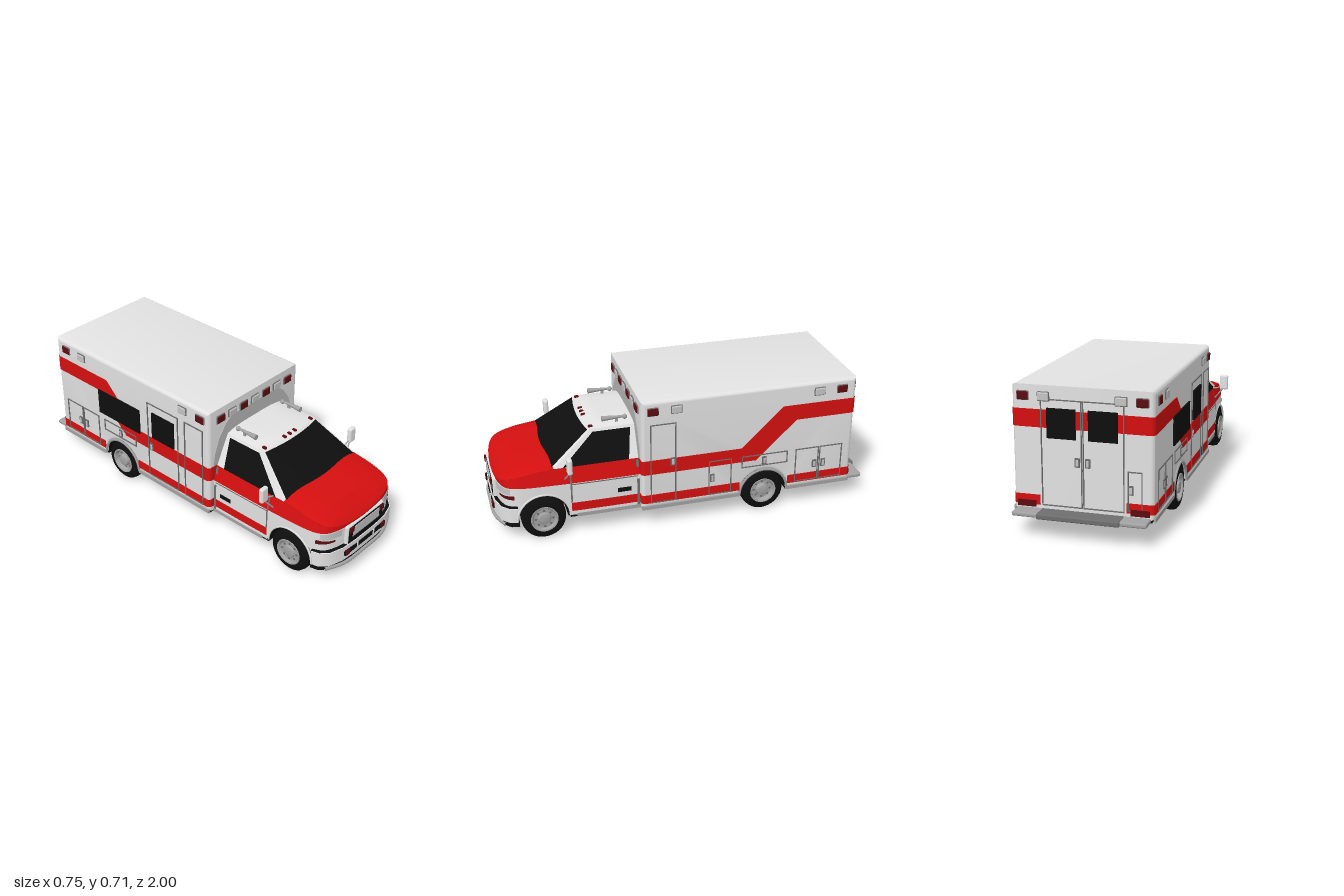
import * as THREE from 'three';
import { toCreasedNormals } from 'three/addons/utils/BufferGeometryUtils.js';
import { RoundedBoxGeometry } from 'three/addons/geometries/RoundedBoxGeometry.js';

const paint = (name, color) => {
  const m = new THREE.MeshStandardMaterial({ color, side: THREE.DoubleSide });
  m.name = name;
  return m;
};

export function createModel() {
  const root = new THREE.Group();
  root.name = 'ambulance';
  const white = paint('white paint', 0xe2e2e2), red = paint('red paint', 0xd40f0f);
  const black = paint('black glass and rubber', 0x0e0e0e), lampRed = paint('dark red lens', 0x5c0c10);
  const clear = paint('clear lens', 0xc4c4c4), metal = paint('grey metal', 0xa2a2a2);
  const seam = paint('seam grey', 0x6e6e6e), pale = paint('pale grey panel', 0xb8b8b8);

  const add = (name, geo, mat, x = 0, y = 0, z = 0) => {
    const m = new THREE.Mesh(geo, mat);
    m.name = name;
    m.position.set(x, y, z);
    root.add(m);
    return m;
  };
  const box = (name, mat, x0, x1, y0, y1, z0, z1) =>
    add(name, new THREE.BoxGeometry(x1 - x0, y1 - y0, z1 - z0), mat, (x0 + x1) / 2, (y0 + y1) / 2, (z0 + z1) / 2);
  // Grid surface from a rule f(u, v) with u, v in 0..1
  const surf = (name, f, nu, nv, mat) => {
    const pos = [], idx = [], n = nu + 1;
    for (let j = 0; j <= nv; j++) for (let i = 0; i <= nu; i++) pos.push(...f(i / nu, j / nv));
    for (let j = 0; j < nv; j++) for (let i = 0; i < nu; i++) {
      const a = j * n + i;
      idx.push(a, a + 1, a + n, a + 1, a + n + 1, a + n);
    }
    const g = new THREE.BufferGeometry();
    g.setAttribute('position', new THREE.Float32BufferAttribute(pos, 3));
    g.setIndex(idx);
    g.computeVertexNormals();
    return add(name, g, mat);
  };
  const mix = (a, b, t) => a + (b - a) * t;
  const poly = pts => new THREE.Shape(pts.map(p => new THREE.Vector2(p[0], p[1])));
  const tube = (name, pts, r, mat) => add(name, new THREE.TubeGeometry(
    new THREE.CatmullRomCurve3(pts.map(p => new THREE.Vector3(...p))), 20, r, 8), mat);

  // ---- Patient box, with wheel arches cut from its side profile
  const HW = 0.34, BACK = -0.905, FRONT = 0.25, TOP = 0.715, BOT = 0.112, R = 0.02;
  const WF = 0.752, WR = -0.412, AXLE = 0.115;
  const side = poly([[BACK, BOT], [BACK, TOP], [FRONT, TOP], [FRONT, BOT], [WR + 0.13, BOT]]);
  side.absarc(WR, BOT, 0.13, 0, Math.PI, false);
  const bodyGeo = new THREE.ExtrudeGeometry(side, { depth: 2 * (HW - R), bevelThickness: R, bevelSize: R, bevelOffset: -R, bevelSegments: 4, curveSegments: 24 });
  bodyGeo.rotateY(-Math.PI / 2).translate(HW - R, 0, 0);
  add('patientBox', toCreasedNormals(bodyGeo, 0.6), white);

  // Helpers that lay thin parts on the four faces of the box
  const faces = {
    left: [Math.PI / 2, (a, y, o) => [HW + o, y, a]], right: [-Math.PI / 2, (a, y, o) => [-HW - o, y, a]],
    front: [0, (a, y, o) => [a, y, FRONT + o]], back: [Math.PI, (a, y, o) => [a, y, BACK - o]],
  };
  const lay = (name, geo, mat, face, a, y, o) => {
    const m = add(name, geo, mat, ...faces[face][1](a, y, o));
    m.rotation.y = faces[face][0];
    return m;
  };
  const plate = (name, face, a0, a1, y0, y1, mat, o = 0.002, d = 0.006) =>
    lay(name, new THREE.BoxGeometry(Math.abs(a1 - a0), y1 - y0, d), mat, face, (a0 + a1) / 2, (y0 + y1) / 2, o);
  const outline = (name, face, a0, a1, y0, y1) => {
    const w = Math.abs(a1 - a0) / 2, h = (y1 - y0) / 2, t = 0.005;
    const s = poly([[-w, -h], [w, -h], [w, h], [-w, h]]);
    s.holes.push(poly([[t - w, t - h], [t - w, h - t], [w - t, h - t], [w - t, t - h]]));
    lay(name, new THREE.ExtrudeGeometry(s, { depth: 0.005, bevelEnabled: false }), seam, face, (a0 + a1) / 2, (y0 + y1) / 2, 0.001);
  };
  const lamp = (face, a, y, mat) => {
    lay('warningLampBezel', new RoundedBoxGeometry(0.06, 0.046, 0.012, 2, 0.006), seam, face, a, y, 0.001);
    lay('warningLamp', new RoundedBoxGeometry(0.054, 0.04, 0.018, 2, 0.006), mat, face, a, y, 0.002);
  };
  const latch = (face, a, y) => {
    plate('latchPlate', face, a - 0.012, a + 0.012, y - 0.022, y + 0.022, seam, 0.003);
    plate('latchHandle', face, a - 0.006, a + 0.006, y - 0.015, y + 0.015, clear, 0.006);
  };

  // Red stripes on the sides, ends and rounded corners
  const swoosh = poly([[0.23, 0.308], [0.23, 0.388], [-0.285, 0.388], [-0.505, 0.6], [-0.885, 0.6], [-0.885, 0.515], [-0.58, 0.515], [-0.365, 0.308]]);
  for (const s of [1, -1]) {
    const f = s > 0 ? 'left' : 'right';
    const g = new THREE.ExtrudeGeometry(swoosh, { depth: 0.006, bevelEnabled: false });
    add('sideStripe', g.rotateY(-Math.PI / 2).translate(0.003, 0, 0), red, s * HW);
    plate('lowerStripe', f, 0.23, WR + 0.135, 0.14, 0.188, red, 0.0005);
    plate('lowerStripe', f, WR - 0.135, -0.885, 0.14, 0.188, red, 0.0005);
    plate('rubRail', f, 0.25, WR + 0.135, 0.105, 0.125, metal, 0, 0.012);
    plate('rubRail', f, WR - 0.135, -0.9, 0.105, 0.125, metal, 0, 0.012);
    for (const [z, y0, y1] of [[FRONT, 0.308, 0.388], [FRONT, 0.14, 0.188], [BACK, 0.515, 0.6], [BACK, 0.14, 0.188]]) {
      const end = z > 0 ? 1 : -1;
      const start = end > 0 ? (s > 0 ? 0 : -Math.PI / 2) : (s > 0 ? Math.PI / 2 : Math.PI);
      add('cornerStripe', new THREE.CylinderGeometry(R + 0.003, R + 0.003, y1 - y0, 8, 1, true, start, Math.PI / 2),
        red, s * (HW - R), (y0 + y1) / 2, z - end * R);
    }
    // Arch trim
    add('archTrim', new THREE.TorusGeometry(0.132, 0.007, 6, 28, Math.PI), metal, s * HW, BOT, WR).rotation.y = Math.PI / 2;
    // Lamps and lockers shared by both sides
    for (const [z, m] of [[0.19, lampRed], [0.068, clear], [-0.7, clear], [-0.825, lampRed]]) lamp(f, z, 0.662, m);
    outline('lockerDoor', f, -0.585, -0.717, 0.145, 0.34);
    outline('lockerDoor', f, -0.721, -0.85, 0.145, 0.34);
    latch(f, -0.695, 0.24);
    latch(f, -0.745, 0.24);
    outline('wheelLocker', f, -0.285, -0.54, 0.272, 0.34);
    latch(f, -0.41, 0.302);
    // Rear lights, marker lamps and tail lamps
    lamp('back', s * 0.285, 0.662, lampRed);
    lamp('back', s * 0.185, 0.662, clear);
    plate('tailLamp', 'back', s * 0.23, s * 0.32, 0.13, 0.16, lampRed, 0.006);
    plate('rearLowerStripe', 'back', s * 0.21, s * 0.322, 0.14, 0.188, red, 0);
    // Rear doors
    outline('rearDoor', 'back', s * 0.002, s * 0.2, 0.14, 0.652);
    plate('rearWindow', 'back', s * 0.03, s * 0.17, 0.468, 0.61, black, 0.004, 0.008);
    latch('back', s * 0.025, 0.36);
  }
  outline('tallLocker', 'left', 0.07, 0.205, 0.14, 0.59);
  latch('left', 0.088, 0.37);
  outline('lowLocker', 'left', -0.105, -0.23, 0.14, 0.34);
  latch('left', -0.125, 0.24);
  outline('sideDoor', 'right', 0.035, -0.19, 0.14, 0.6);
  plate('sideDoorWindow', 'right', 0.005, -0.155, 0.395, 0.55, black, 0.005, 0.008);
  latch('right', -0.165, 0.33);
  plate('sideWindow', 'right', -0.25, -0.57, 0.375, 0.52, black, 0.005, 0.008);
  outline('frontLocker', 'right', 0.08, 0.21, 0.14, 0.6);
  outline('rearLocker', 'back', -0.215, -0.285, 0.15, 0.34);
  latch('back', -0.23, 0.25);
  plate('rearStripe', 'back', -0.322, 0.322, 0.515, 0.6, red, 0);
  plate('frontStripe', 'front', -0.322, 0.322, 0.308, 0.388, red, 0);
  plate('frontLowerStripe', 'front', -0.322, 0.322, 0.14, 0.188, red, 0);
  for (let i = -3; i <= 3; i++) lamp('front', i * 0.0855, 0.655, i % 2 ? lampRed : clear);
  // Arched panel between box and cab
  const arch = poly([[-0.31, 0.39], [0.31, 0.39], [0.3, 0.46], [0.27, 0.54], [0.22, 0.61], [0.17, 0.64], [-0.17, 0.64], [-0.22, 0.61], [-0.27, 0.54], [-0.3, 0.46]]);
  add('transitionPanel', new THREE.ExtrudeGeometry(arch, { depth: 0.004, bevelEnabled: false }), pale, 0, 0, FRONT);

  // ---- Cab walls: a plan curve from the rear of the door round to the nose
  const plan = new THREE.SplineCurve([[0.305, 0.24], [0.305, 0.44], [0.303, 0.6], [0.299, 0.72], [0.293, 0.82], [0.28, 0.89],
    [0.25, 0.935], [0.18, 0.962], [0.09, 0.974], [0, 0.978]].map(p => new THREE.Vector2(...p)));
  const table = [[0, 0.385], [0.7, 0.385], [0.8, 0.372], [0.88, 0.355], [0.935, 0.338], [0.962, 0.322], [0.979, 0.306]];
  const shoulder = z => {
    let i = 1;
    while (i < table.length - 1 && table[i][0] < z) i++;
    const [a, b] = [table[i - 1], table[i]];
    return mix(a[1], b[1], Math.min(1, (z - a[0]) / (b[0] - a[0])));
  };
  const tuck = y => 1 - 0.07 * Math.max(0, (y - 0.3) / 0.085);
  const bottom = z => AXLE + Math.sqrt(Math.max(0, 0.135 ** 2 - (z - WF) ** 2));
  const wall = (s, t, y, o = 0) => {
    const p = plan.getPoint(t), n = plan.getTangent(t);
    return [s * (p.x * tuck(y) + n.y * o), y, p.y - n.x * o];
  };
  const patch = (name, s, t0, t1, y0, y1, mat, o = 0.003) =>
    surf(name, (u, v) => wall(s, mix(t0, t1, u), mix(y0, y1, v), o), 12, 2, mat);
  for (const s of [1, -1]) {
    surf('cabLowerSide', (u, v) => wall(s, u, mix(bottom(plan.getPoint(u).y), 0.3, v)), 130, 4, white);
    surf('cabUpperSide', (u, v) => wall(s, u, mix(0.3, shoulder(plan.getPoint(u).y), v)), 80, 4, red);
    patch('cabLowerStripe', s, 0.01, 0.23, 0.14, 0.188, red);
    patch('doorRearSeam', s, 0.012, 0.022, 0.12, 0.38, seam, 0.004);
    patch('doorFrontSeam', s, 0.225, 0.232, 0.19, 0.38, seam, 0.004);
    patch('doorCrease', s, 0.02, 0.23, 0.292, 0.298, seam, 0.004);
    patch('doorHandle', s, 0.04, 0.075, 0.215, 0.24, black, 0.006);
    patch('sillStep', s, 0.01, 0.21, 0.105, 0.125, metal, 0.005);
    patch('headlamp', s, 0.6, 0.79, 0.262, 0.298, clear, 0.004);
    surf('cornerLamp', (u, v) => wall(s, mix(0.56, 0.74, u), mix(0.237 + 0.004 * u, mix(0.262, 0.252, u), v), 0.005), 12, 2, lampRed);
    add('fenderLip', new THREE.TorusGeometry(0.136, 0.006, 6, 28, Math.PI), white, s * 0.297, AXLE, WF).rotation.y = Math.PI / 2;
  }
  surf('hood', (u, v) => {
    const p = plan.getPoint(mix(0.2, 1, v)), y = shoulder(p.y), a = 2 * u - 1;
    return [a * p.x * tuck(y), y + 0.024 * Math.min(1, (0.978 - p.y) / 0.1) * (1 - a ** 4), p.y];
  }, 24, 48, red);

  // ---- Greenhouse: windscreen, door glass and roof
  const screen = (a, v, o = 0) => [a * mix(0.284, 0.205, v), mix(0.385, 0.543, v) + o, mix(0.69, 0.48, v) + mix(0.05, 0.02, v) * (1 - a * a) + o];
  surf('windscreenFrame', (u, v) => screen(2 * u - 1, v), 16, 4, white);
  surf('windscreen', (u, v) => screen((2 * u - 1) * 0.95, mix(0.01, 0.95, v), 0.003), 16, 4, black);
  const flank = (s, u, v, o = 0) => [s * (mix(0.284, 0.205, v) + o), mix(0.385, 0.543, v), mix(mix(0.69, 0.48, v), 0.245, u)];
  for (const s of [1, -1]) {
    surf('doorFrame', (u, v) => flank(s, u, v), 4, 4, white);
    surf('doorWindow', (u, v) => flank(s, mix(0.1, 0.87, u), mix(0.01, 0.92, v), 0.004), 4, 4, black);
  }
  surf('cabRoof', (u, v) => {
    const a = 2 * u - 1;
    return [a * 0.205, 0.543 + 0.016 * (1 - a ** 4) * Math.min(1, 4 * v), mix(0.48 + 0.02 * (1 - a * a), 0.245, v)];
  }, 16, 12, white);
  for (const x of [-0.18, -0.04, 0, 0.04, 0.18])
    add('roofMarkerLamp', new RoundedBoxGeometry(0.018, 0.014, 0.024, 2, 0.005), lampRed, x, 0.545, 0.485 - 0.3 * x * x);

  // ---- Nose: grille, bumper and push bar
  add('grilleSurround', new RoundedBoxGeometry(0.3, 0.115, 0.08, 3, 0.012), white, 0, 0.245, 0.945);
  box('grilleOpening', black, -0.138, 0.138, 0.198, 0.292, 0.98, 0.987);
  box('grilleBar', clear, -0.105, 0.105, 0.24, 0.284, 0.982, 0.99);
  box('grilleMesh', metal, -0.11, 0.11, 0.228, 0.236, 0.982, 0.99);
  const nose = [[0.298, 0.885], [0.288, 0.925], [0.25, 0.962], [0.17, 0.985], [0.08, 0.991]];
  const slab = (name, y0, y1, k, mat) => {
    const pts = [...nose, ...nose.map(p => [-p[0], p[1]]).reverse()].map(p => [p[0] * k, -p[1] * mix(1, k, 0.3)]);
    const g = new THREE.ExtrudeGeometry(poly(pts), { depth: y1 - y0, bevelEnabled: false });
    add(name, toCreasedNormals(g.rotateX(-Math.PI / 2), 0.6), mat, 0, y0);
  };
  slab('bumper', 0.112, 0.192, 1, white);
  slab('bumperGap', 0.19, 0.198, 0.985, black);
  slab('lowerValance', 0.08, 0.114, 0.97, black);
  box('bumperVent', black, -0.165, 0.165, 0.14, 0.168, 0.982, 0.993);
  for (const s of [1, -1]) {
    box('bumperVentPost', white, s * 0.066 - 0.005, s * 0.066 + 0.005, 0.138, 0.17, 0.988, 0.995);
    box('bumperLamp', lampRed, s * 0.145 - 0.016, s * 0.145 + 0.016, 0.14, 0.168, 0.982, 0.996);
    box('grilleLamp', lampRed, s * 0.122 - 0.016, s * 0.122 + 0.016, 0.264, 0.292, 0.983, 0.994);
  }
  tube('pushBar', [[-0.26, 0.09, 0.945], [-0.16, 0.09, 0.985], [0, 0.09, 0.991], [0.16, 0.09, 0.985], [0.26, 0.09, 0.945]], 0.009, metal);

  // ---- Mirrors and roof horns
  for (const s of [1, -1]) {
    add('mirror', new RoundedBoxGeometry(0.048, 0.085, 0.026, 3, 0.01), white, s * 0.351, 0.427, 0.62);
    tube('mirrorArm', [[s * 0.345, 0.39, 0.62], [s * 0.335, 0.375, 0.62], [s * 0.285, 0.315, 0.64]], 0.004, metal);
    tube('mirrorArm', [[s * 0.335, 0.4, 0.62], [s * 0.31, 0.39, 0.62], [s * 0.275, 0.385, 0.63]], 0.004, metal);
    add('horn', new THREE.CylinderGeometry(0.014, 0.005, 0.12, 16), metal, s * 0.173, 0.575, 0.355).rotation.x = Math.PI / 2;
    add('hornBack', new THREE.SphereGeometry(0.013, 12, 8), metal, s * 0.173, 0.573, 0.295);
    box('hornStand', metal, s * 0.173 - 0.004, s * 0.173 + 0.004, 0.545, 0.575, 0.33, 0.345);
  }

  // ---- Wheels: revolved tyre and dished rim, double at the rear
  const lathe = pts => new THREE.LatheGeometry(pts.map(p => new THREE.Vector2(...p)), 36).rotateZ(-Math.PI / 2);
  const wheel = (s, z, x0, x1, dish) => {
    const w = x1 - x0, g = new THREE.Group();
    g.name = z > 0 ? 'frontWheel' : 'rearWheel';
    const tyre = new THREE.Mesh(toCreasedNormals(lathe([[0.01, 0], [0.095, 0], [0.111, 0.012], [0.115, 0.03], [0.115, w - 0.03], [0.111, w - 0.012], [0.095, w], [0.07, w]]), 0.7), black);
    const rim = new THREE.Mesh(toCreasedNormals(lathe([[0.072, w - 0.004], [0.07, w + 0.004], [0.062, w + 0.002], [0.055, w - dish], [0.035, w - dish], [0.03, w], [0.012, w + 0.004], [0, w + 0.004]]), 0.5), metal);
    tyre.name = 'tyre';
    rim.name = 'rim';
    g.add(tyre, rim);
    for (let i = 0; i < 8; i++) {
      const a = i * Math.PI / 4, hole = new THREE.Mesh(new THREE.CylinderGeometry(0.006, 0.006, 0.004, 8).rotateZ(Math.PI / 2), seam);
      hole.name = 'rimHole';
      hole.position.set(w - dish + 0.001, 0.045 * Math.cos(a), 0.045 * Math.sin(a));
      g.add(hole);
    }
    g.position.set(s * x0, AXLE, z);
    if (s < 0) g.rotation.y = Math.PI;
    root.add(g);
  };
  for (const s of [1, -1]) {
    wheel(s, WF, 0.2, 0.305, 0.008);
    wheel(s, WR, 0.175, 0.338, 0.02);
  }

  // ---- Wheel wells, underside and rear step
  for (const [z, r, w] of [[WF, 0.134, 0.585], [WR, 0.128, 0.66]]) {
    const g = new THREE.CylinderGeometry(r, r, w, 28, 1, true, 0, Math.PI).rotateZ(Math.PI / 2);
    add('wheelWell', g, black, 0, AXLE - 0.002, z);
    box('wellCore', black, -0.17, 0.17, 0.06, 0.225, z - 0.08, z + 0.08);
  }
  box('boxFloorFront', black, -0.328, 0.328, 0.1, 0.114, WR + 0.13, 0.245);
  box('boxFloorRear', black, -0.328, 0.328, 0.1, 0.114, -0.9, WR - 0.13);
  box('cabFloor', black, -0.296, 0.296, 0.1, 0.116, 0.24, 0.617);
  box('fuelTank', black, -0.24, 0.24, 0.076, 0.102, 0.45, 0.62);
  box('chassis', black, -0.13, 0.13, 0.085, 0.11, -0.85, 0.93);
  add('rearStep', new RoundedBoxGeometry(0.65, 0.022, 0.085, 2, 0.008), metal, 0, 0.113, -0.945);
  add('rearStepTread', new RoundedBoxGeometry(0.4, 0.026, 0.09, 2, 0.006), seam, 0, 0.114, -0.955);
  return root;
}
